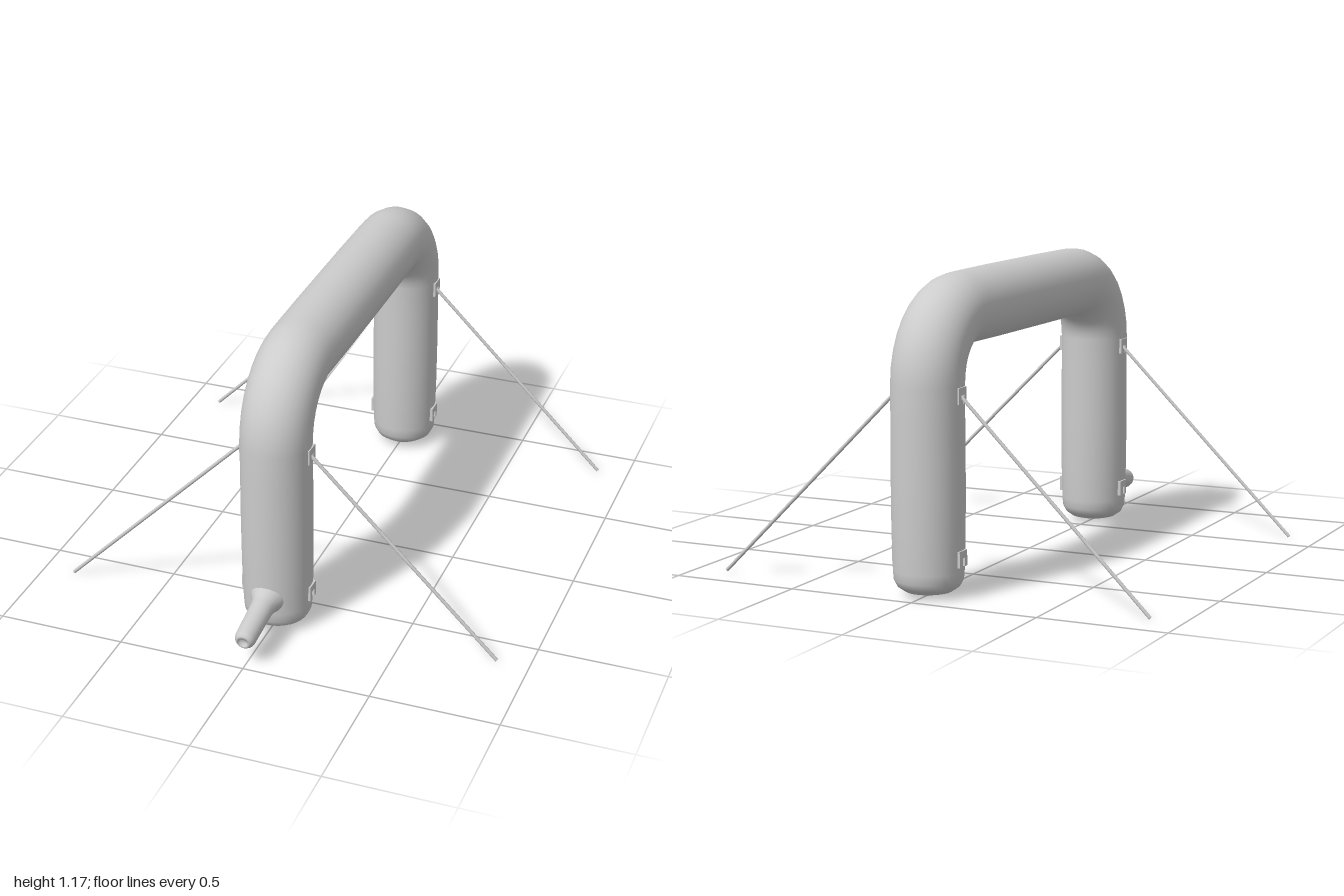
import * as THREE from 'three';

const grey = new THREE.MeshStandardMaterial({ color: 0xcccccc });
const Z_FRONT = 0.635, Z_BACK = -0.861, Y_TOP = 1.034, R = 0.137, BEND = 0.25;
const SIDES = 32;

function add(parent, name, geometry) {
  const mesh = new THREE.Mesh(geometry, grey);
  mesh.name = name;
  parent.add(mesh);
  return mesh;
}

// Inflated arch: rings of given radius swept along leg, bend, beam, bend, leg
function archGeometry() {
  const foot = [[0.01, 0.001], [0.012, 0.05], [0.022, 0.09], [0.04, 0.116], [0.065, 0.129],
    [0.1, 0.132], [0.25, 0.136], [0.45, R], [0.65, 0.136]];
  const half = foot.map(([y, r]) => ({ y, d: 0, r, a: 0 }));
  for (let i = 0; i <= 8; i++) {
    const a = (i / 8) * Math.PI / 2;
    half.push({ y: Y_TOP - BEND + BEND * Math.sin(a), d: BEND * (1 - Math.cos(a)), r: 0.136, a });
  }
  half.push({ y: Y_TOP, d: 0.5, r: 0.138, a: Math.PI / 2 });
  const rings = half.map(p => ({ y: p.y, z: Z_FRONT - p.d, r: p.r, a: p.a }));
  for (const p of [...half].reverse())
    rings.push({ y: p.y, z: Z_BACK + p.d, r: p.r, a: Math.PI - p.a });

  const pos = [], index = [];
  rings.forEach(({ y, z, r, a }, i) => {
    for (let j = 0; j < SIDES; j++) {
      const t = (j / SIDES) * Math.PI * 2, n = r * Math.cos(t);
      pos.push(r * Math.sin(t), y + n * Math.sin(a), z + n * Math.cos(a));
      if (i === rings.length - 1) continue;
      const k = (j + 1) % SIDES, p = i * SIDES, q = p + SIDES;
      index.push(p + j, p + k, q + j, p + k, q + k, q + j);
    }
  });
  const g = new THREE.BufferGeometry();
  g.setAttribute('position', new THREE.Float32BufferAttribute(pos, 3));
  g.setIndex(index);
  g.computeVertexNormals();
  return g;
}

// Square anchor patch with a slot open at the bottom
function patchGeometry() {
  const s = new THREE.Shape([[-0.03, -0.03], [-0.012, -0.03], [-0.012, 0.002], [0.012, 0.002],
    [0.012, -0.03], [0.03, -0.03], [0.03, 0.03], [-0.03, 0.03]].map(p => new THREE.Vector2(...p)));
  return new THREE.ExtrudeGeometry(s, { depth: 0.014, bevelEnabled: false });
}

// Thin round rope between two points
function rope(parent, name, from, to) {
  const dir = to.clone().sub(from);
  const mesh = add(parent, name, new THREE.CylinderGeometry(0.007, 0.007, dir.length(), 8));
  mesh.position.copy(from).add(to).multiplyScalar(0.5);
  mesh.quaternion.setFromUnitVectors(new THREE.Vector3(0, 1, 0), dir.normalize());
}

export function createModel() {
  const group = new THREE.Group();
  group.name = 'inflatableArch';
  add(group, 'archTube', archGeometry());

  // Inflation nozzle: flared at the leg, rounded tip with a small recess
  const profile = [[0.075, 0], [0.062, 0.025], [0.05, 0.045], [0.045, 0.07], [0.043, 0.14], [0.041, 0.235],
    [0.037, 0.25], [0.029, 0.26], [0.019, 0.264], [0.017, 0.25], [0, 0.25]];
  const nozzle = add(group, 'inflationNozzle',
    new THREE.LatheGeometry(profile.map(p => new THREE.Vector2(...p)), 20));
  nozzle.position.set(0, 0.16, 0.735);
  nozzle.rotation.x = Math.PI / 2 + 0.175;

  // Anchor patches and guy ropes on both sides of both legs
  const patch = patchGeometry();
  for (const [leg, z] of [['front', 0.627], ['back', -0.856]]) {
    for (const [side, s] of [['Left', 1], ['Right', -1]]) {
      for (const [level, y] of [['Upper', 0.75], ['Lower', 0.15]]) {
        const m = add(group, `${leg}${side}${level}Patch`, patch);
        m.position.set(s * 0.126, y, z);
        m.rotation.y = s * Math.PI / 2;
      }
      rope(group, `${leg}${side}Rope`, new THREE.Vector3(s * 0.125, 0.755, z),
        new THREE.Vector3(s * 0.874, 0.008, z));
    }
  }
  return group;
}
